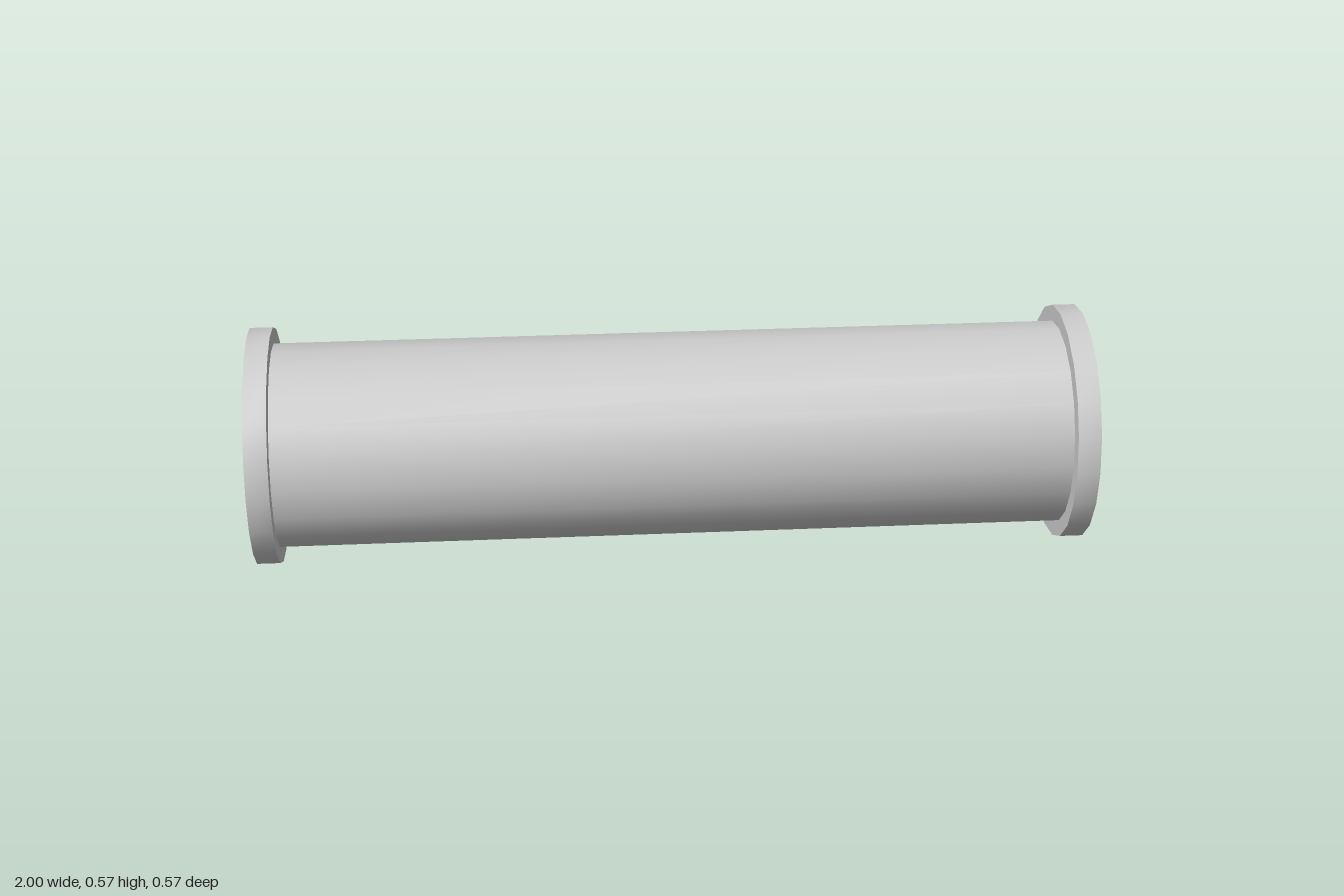
import * as THREE from 'three';
import { toCreasedNormals } from 'three/addons/utils/BufferGeometryUtils.js';

const SIDES = 20;
const FLANGE_R = 0.286, BORE_R = 0.205;
const TUBE_OUTER = 0.247, TUBE_INNER = 0.236;
const FLANGE_W = 0.055;

// Hollow ring along x from x0 to x1, smooth around and sharp at the rims
function ring(name, outer, inner, x0, x1, material) {
  const profile = [[outer, x0], [outer, x1], [inner, x1], [inner, x0], [outer, x0]]
    .map(([r, h]) => new THREE.Vector2(r, h));
  const geometry = new THREE.LatheGeometry(profile, SIDES);
  geometry.rotateZ(-Math.PI / 2);
  const mesh = new THREE.Mesh(toCreasedNormals(geometry, 0.6), material);
  mesh.name = name;
  return mesh;
}

export function createModel() {
  const model = new THREE.Group();
  model.name = 'flangedPipe';
  const grey = new THREE.MeshStandardMaterial({ color: 0xcccccc });

  // Thin-walled pipe between the two flanges
  const end = 1 - FLANGE_W;
  model.add(ring('pipe', TUBE_OUTER, TUBE_INNER, -end, end, grey));

  // End flanges with a narrower bore
  model.add(ring('leftFlange', FLANGE_R, BORE_R, end, 1, grey));
  model.add(ring('rightFlange', FLANGE_R, BORE_R, -1, -end, grey));

  model.position.y = FLANGE_R;
  return model;
}
